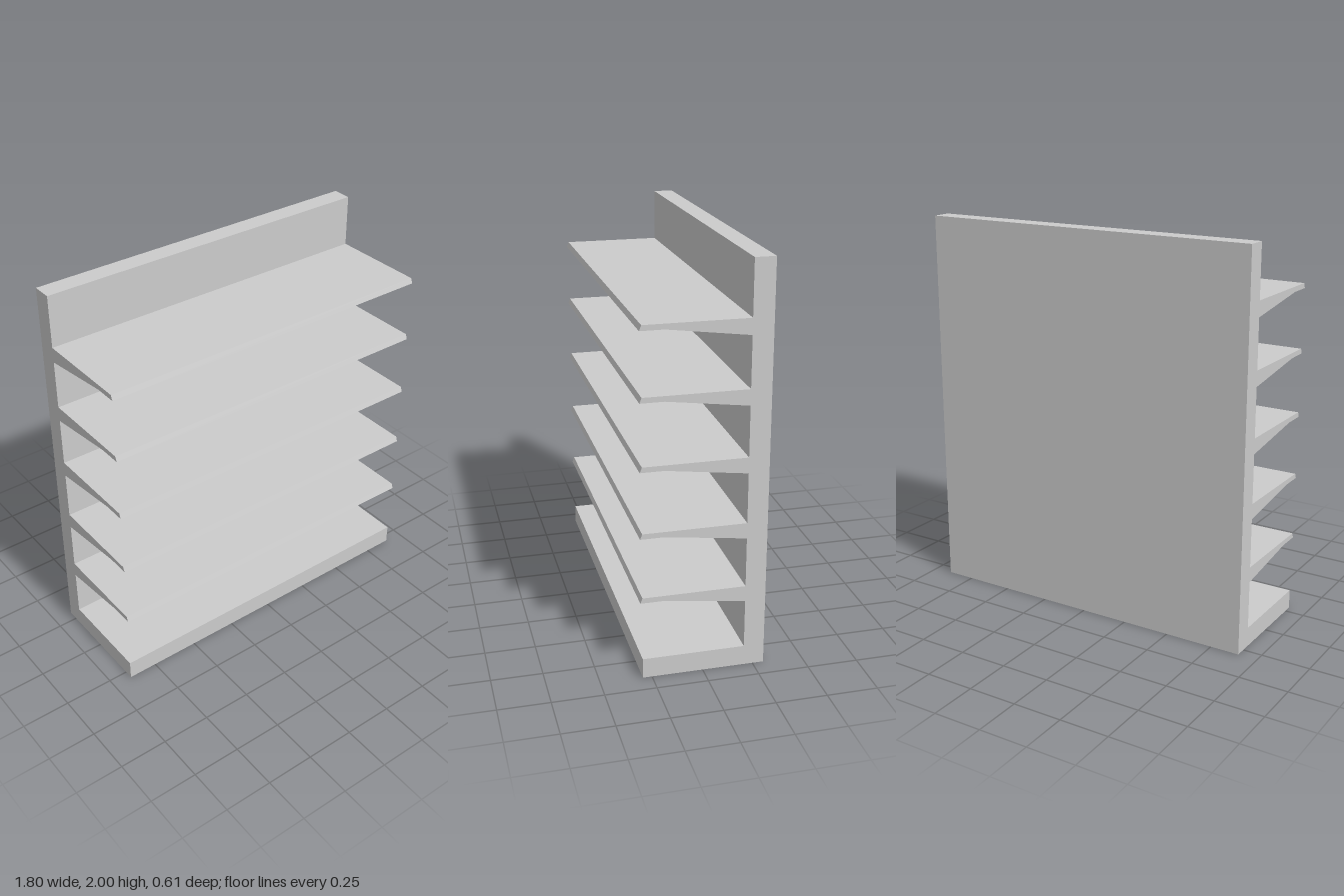
import * as THREE from 'three';

const WIDTH = 1.8;
const BACK = -0.305, PANEL_FRONT = -0.205, BASE_FRONT = 0.295;

// Extrudes a side profile of [z, y] points along x, centred on the given x.
function extrudeAlongX(name, profile, width, x, material) {
  const shape = new THREE.Shape(profile.map(([z, y]) => new THREE.Vector2(-z, y)));
  const geometry = new THREE.ExtrudeGeometry(shape, { depth: width, bevelEnabled: false });
  geometry.translate(0, 0, -width / 2);
  geometry.rotateY(Math.PI / 2);
  // rotateY maps shape x to -z, so the negated z comes back positive
  geometry.translate(x, 0, 0);
  const mesh = new THREE.Mesh(geometry, material);
  mesh.name = name;
  return mesh;
}

export function createModel() {
  const model = new THREE.Group();
  model.name = 'shelvingUnit';
  const material = new THREE.MeshStandardMaterial({ color: 0xcccccc, flatShading: true });

  // L-shaped body: back panel and base plinth
  model.add(extrudeAlongX('backPanelAndBase', [
    [BACK, 0], [BASE_FRONT, 0], [BASE_FRONT, 0.1],
    [PANEL_FRONT, 0.1], [PANEL_FRONT, 2], [BACK, 2],
  ], WIDTH, 0, material));

  // Five shelves with a slanted front lip and a thin tapered bracket at each end
  const thickness = 0.026, bracketDrop = 0.052, bracketWidth = 0.01;
  for (let i = 0; i < 5; i++) {
    const shelf = new THREE.Group();
    shelf.name = `shelf${i + 1}`;
    shelf.position.y = 0.423 + i * 0.3273;
    shelf.add(extrudeAlongX('shelfBoard', [
      [PANEL_FRONT, -thickness], [0.305, -thickness],
      [0.295, 0], [PANEL_FRONT, 0],
    ], WIDTH, 0, material));
    for (const side of [-1, 1]) {
      shelf.add(extrudeAlongX(side > 0 ? 'leftBracket' : 'rightBracket', [
        [PANEL_FRONT, -thickness - bracketDrop], [0.19, -thickness], [PANEL_FRONT, -thickness],
      ], bracketWidth, side * (WIDTH - bracketWidth) / 2, material));
    }
    model.add(shelf);
  }
  return model;
}
